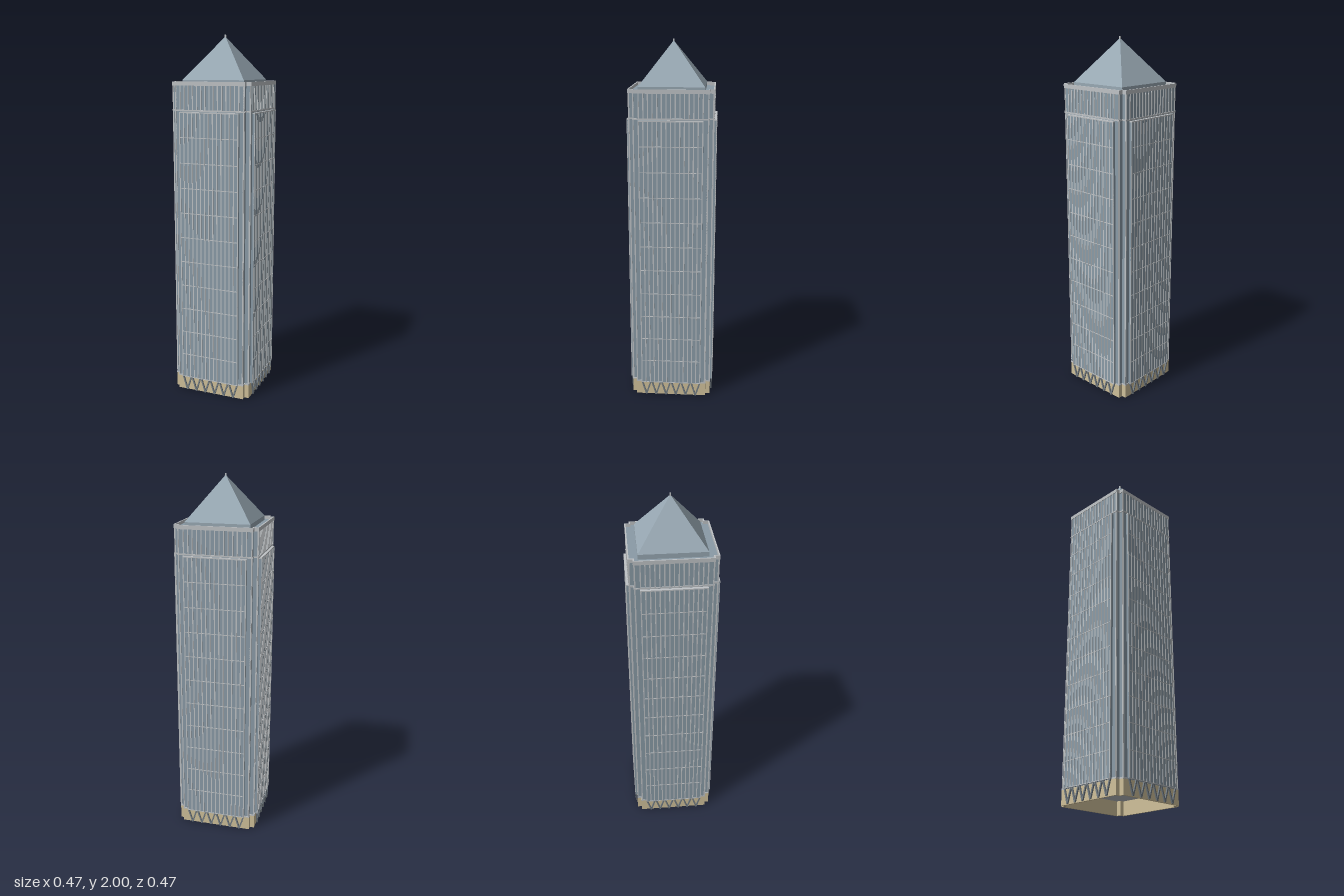
import * as THREE from 'three';
import { mergeGeometries } from 'three/addons/utils/BufferGeometryUtils.js';

const material = (name, color) => {
  const m = new THREE.MeshStandardMaterial({ color });
  m.name = name;
  return m;
};

const BASE = 0.08, SETBACK = 1.6, ROOF = 1.738, TOP = 1.755;
const BAY = 0.17, BAY_TOP = 1.597;

// Square plan with a small square notch in each corner
function planPoints(half, notch = 0.025) {
  const a = half, b = half - notch;
  return [[a, -b], [a, b], [b, b], [b, a], [-b, a], [-b, b], [-a, b], [-a, -b],
    [-b, -b], [-b, -a], [b, -a], [b, -b]].map(([x, y]) => new THREE.Vector2(x, y));
}

// Notched prism between two heights, optionally hollow
function prism(half, y0, y1, inner) {
  const shape = new THREE.Shape(planPoints(half));
  if (inner) shape.holes.push(new THREE.Path(planPoints(inner).reverse()));
  const g = new THREE.ExtrudeGeometry(shape, { depth: y1 - y0, bevelEnabled: false });
  return g.rotateX(-Math.PI / 2).translate(0, y0, 0);
}

// Box given by its limits on each axis
function block(x0, x1, y0, y1, z0, z1) {
  return new THREE.BoxGeometry(x1 - x0, y1 - y0, z1 - z0)
    .translate((x0 + x1) / 2, (y0 + y1) / 2, (z0 + z1) / 2);
}

// Slanted square strut in a plane of constant z
function strut(x0, y0, x1, y1, z, size) {
  const dx = x1 - x0, dy = y1 - y0;
  return new THREE.BoxGeometry(size, Math.hypot(dx, dy), size)
    .rotateZ(-Math.atan2(dx, dy))
    .translate((x0 + x1) / 2, (y0 + y1) / 2, z);
}

export function createModel() {
  const glass = material('blueGreyGlass', 0x8a9ba7);
  const roofing = material('paleBlueRoof', 0x98a8b3);
  const frame = material('lightGreyFrame', 0xbfc3c6);
  const stone = material('beigeStone', 0xcfc09a);
  const steel = material('greySteel', 0x747d84);

  const group = new THREE.Group();
  const add = (name, geometry, mat, parent = group) => {
    const mesh = new THREE.Mesh(geometry, mat);
    mesh.name = name;
    parent.add(mesh);
    return mesh;
  };

  // Hollow lobby walls and the slab over them
  add('lobbyWalls', prism(0.224, 0, BASE, 0.214), stone);
  add('lobbyCeiling', prism(0.225, BASE - 0.002, BASE + 0.006), frame);

  // Tower core, setback band and parapet
  add('towerCore', prism(0.222, BASE + 0.006, ROOF), glass);
  add('setbackBand', prism(0.226, SETBACK, SETBACK + 0.008), frame);
  add('parapet', prism(0.226, ROOF - 0.004, TOP, 0.219), frame);

  // Glass bay, mullions, floor lines and V columns of one side
  const bay = block(-BAY, BAY, BASE, BAY_TOP - 0.006, 0.215, 0.2345);
  const grid = [block(-BAY, BAY, BAY_TOP - 0.006, BAY_TOP, 0.215, 0.237)];
  const crown = [];
  const corner = [];
  const panels = 14;
  for (let i = 0; i <= panels; i++) {
    const x = (i / panels - 0.5) * 2 * (BAY - 0.003);
    grid.push(block(x - 0.003, x + 0.003, BASE, BAY_TOP - 0.006, 0.233, 0.237));
    crown.push(block(x - 0.003, x + 0.003, SETBACK, ROOF, 0.22, 0.2255));
  }
  const storeys = 11;
  for (let i = 0; i < storeys; i++) {
    const y = BASE + 0.002 + i * (BAY_TOP - BASE) / storeys;
    grid.push(block(-BAY, BAY, y - 0.002, y + 0.002, 0.233, 0.2365));
  }
  for (const s of [-1, 1]) {
    const x = s * 0.1945;
    corner.push(block(x - 0.0025, x + 0.0025, BASE, ROOF, 0.22, 0.225));
    const inner = s * 0.2195;
    corner.push(block(inner - 0.0025, inner + 0.0025, BASE, ROOF, 0.19, 0.199));
  }

  const columns = [];
  const count = 6, pitch = 2 * BAY / count;
  for (let i = 0; i < count; i++) {
    const x = -BAY + i * pitch;
    columns.push(strut(x + 0.004, BASE, x + pitch / 2, 0.003, 0.231, 0.008));
    columns.push(strut(x + pitch - 0.004, BASE, x + pitch / 2, 0.003, 0.231, 0.008));
  }

  const gridGeo = mergeGeometries(grid);
  const crownGeo = mergeGeometries(crown);
  const cornerGeo = mergeGeometries(corner);
  const columnGeo = mergeGeometries(columns);
  ['front', 'left', 'back', 'right'].forEach((name, i) => {
    const side = new THREE.Group();
    side.name = name + 'Facade';
    side.rotation.y = i * Math.PI / 2;
    group.add(side);
    add('glassBay', bay, glass, side);
    add('bayGrid', gridGeo, frame, side);
    add('crownMullions', crownGeo, frame, side);
    add('cornerMullions', cornerGeo, frame, side);
    add('vColumns', columnGeo, steel, side);
  });

  // Pyramid roof on a low plinth, with a tiny finial
  add('pyramidPlinth', block(-0.175, 0.175, ROOF - 0.002, 1.763, -0.175, 0.175), roofing);
  const pyramid = new THREE.ConeGeometry(0.175 * Math.SQRT2, 0.228, 4, 1).toNonIndexed();
  pyramid.rotateY(Math.PI / 4).translate(0, 1.763 + 0.114, 0);
  pyramid.computeVertexNormals();
  add('pyramidRoof', pyramid, roofing);
  add('finial', block(-0.004, 0.004, 1.98, 2, -0.004, 0.004), frame);

  return group;
}
